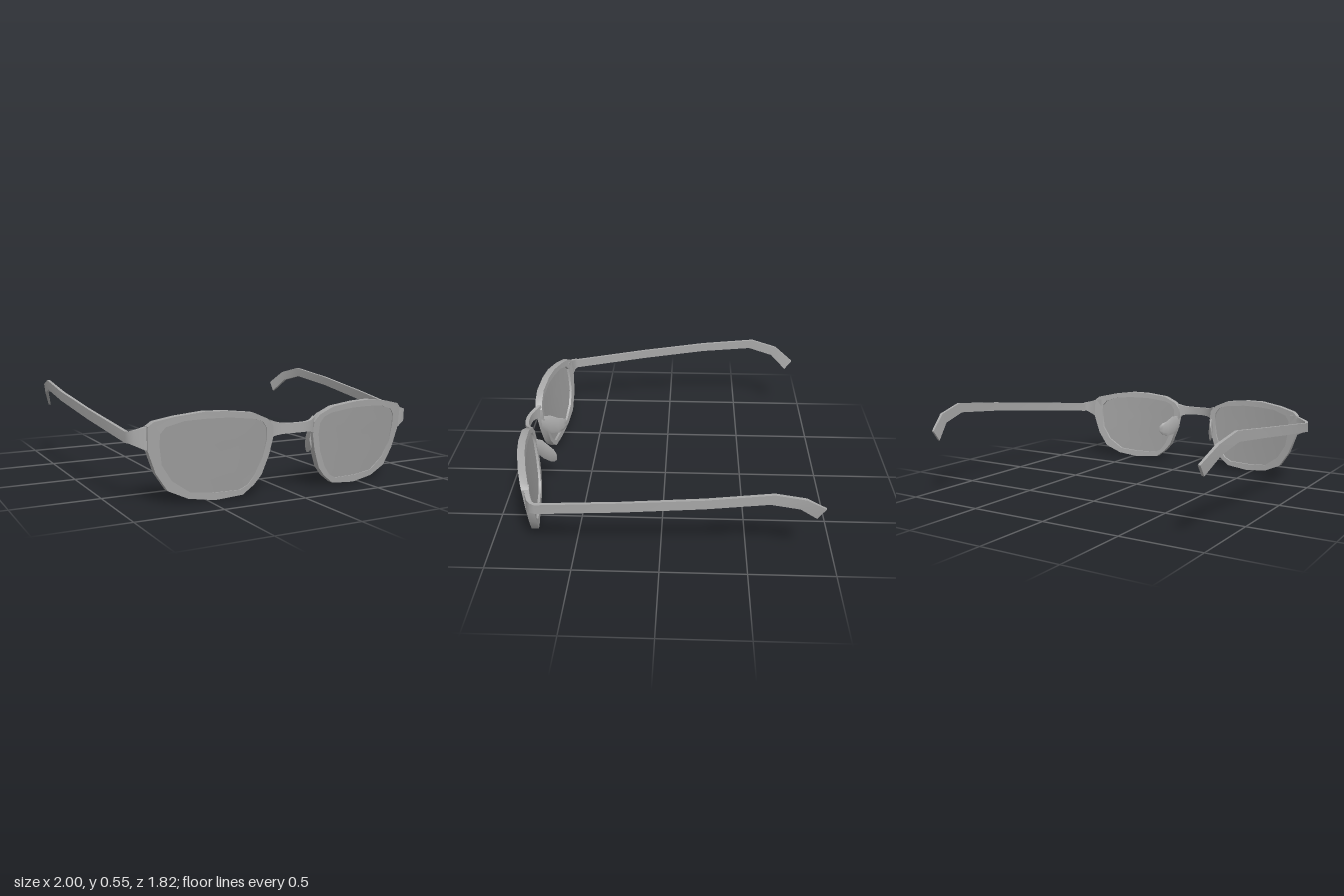
import * as THREE from 'three';
import { toCreasedNormals } from 'three/addons/utils/BufferGeometryUtils.js';

// Skin a list of equal-sized rings; either joined end to end or capped.
function loft(rings, joined = false, crease = 0.6) {
  const n = rings[0].length, tris = [];
  const last = joined ? rings.length : rings.length - 1;
  for (let i = 0; i < last; i++) {
    const a = rings[i], b = rings[(i + 1) % rings.length];
    for (let j = 0; j < n; j++) {
      const k = (j + 1) % n;
      tris.push([a[j], a[k], b[k]], [a[j], b[k], b[j]]);
    }
  }
  if (!joined) {
    const centre = (r) => [0, 1, 2].map((c) => r.reduce((s, p) => s + p[c], 0) / n);
    const a = rings[0], b = rings[rings.length - 1];
    const ca = centre(a), cb = centre(b);
    for (let j = 0; j < n; j++) {
      const k = (j + 1) % n;
      tris.push([ca, a[k], a[j]], [cb, b[j], b[k]]);
    }
  }
  // A negative enclosed volume means the faces point inward, so turn them round.
  const det = ([a, b, c]) =>
    a[0] * (b[1] * c[2] - b[2] * c[1]) + a[1] * (b[2] * c[0] - b[0] * c[2]) + a[2] * (b[0] * c[1] - b[1] * c[0]);
  const flip = tris.reduce((s, t) => s + det(t), 0) < 0;
  const pos = tris.flatMap((t) => (flip ? [t[0], t[2], t[1]] : t)).flat();
  const g = new THREE.BufferGeometry();
  g.setAttribute('position', new THREE.Float32BufferAttribute(pos, 3));
  return toCreasedNormals(g, crease);
}

// Front surface of the wrapped, slightly tilted face of the frame.
const frontZ = (x, y) => 0.88 - 0.22 * (x - 0.15) ** 2 - 0.1 * (0.45 - y);
const RIM_DEPTH = 0.045;

// Rim: outer x, y and inner x, y around one eye.
const rimPoints = [
  [0.80, 0.45, 0.74, 0.42], [0.69, 0.475, 0.645, 0.45], [0.54, 0.495, 0.53, 0.457],
  [0.42, 0.493, 0.40, 0.457], [0.26, 0.475, 0.25, 0.44], [0.17, 0.435, 0.20, 0.42],
  [0.135, 0.395, 0.175, 0.385], [0.13, 0.33, 0.17, 0.32], [0.15, 0.23, 0.19, 0.22],
  [0.19, 0.12, 0.23, 0.125], [0.235, 0.065, 0.27, 0.07], [0.30, 0.015, 0.32, 0.045],
  [0.46, 0, 0.47, 0.043], [0.61, 0.02, 0.60, 0.055], [0.72, 0.07, 0.70, 0.125],
  [0.785, 0.17, 0.755, 0.215], [0.83, 0.30, 0.77, 0.325], [0.83, 0.425, 0.767, 0.385],
];

// Temple arm: outer x, z, inner x, z, top y, bottom y, forward shift of the bottom edge.
const armStations = [
  [0.78, 0.765, 0.78, 0.74, 0.43, 0.29, 0],
  [0.84, 0.757, 0.84, 0.73, 0.42, 0.30, 0],
  [0.893, 0.738, 0.882, 0.715, 0.405, 0.325, 0],
  [0.915, 0.717, 0.899, 0.703, 0.40, 0.335, 0],
  [0.925, 0.69, 0.905, 0.69, 0.395, 0.335, 0],
  [0.972, 0.2, 0.955, 0.2, 0.455, 0.395, 0],
  [1.0, -0.25, 0.98, -0.25, 0.507, 0.45, 0],
  [0.992, -0.615, 0.974, -0.615, 0.545, 0.483, 0.02],
  [0.97, -0.79, 0.95, -0.79, 0.50, 0.44, 0.03],
  [0.925, -0.91, 0.91, -0.91, 0.41, 0.345, 0.047],
];

// Nose pad: x, z, centre y, half height, half thickness.
const padStations = [
  [0.14, 0.84, 0.29, 0.05, 0.012],
  [0.158, 0.785, 0.27, 0.07, 0.015],
  [0.18, 0.735, 0.25, 0.058, 0.013],
  [0.20, 0.705, 0.25, 0.045, 0.009],
  [0.216, 0.686, 0.25, 0.022, 0.005],
];

export function createModel() {
  const model = new THREE.Group();
  model.name = 'glasses';
  const frame = new THREE.MeshStandardMaterial({ color: 0xa8a8a8 });
  frame.name = 'frameGrey';
  const glass = new THREE.MeshStandardMaterial({ color: 0x9e9e9e });
  glass.name = 'lensGrey';

  const add = (name, geometry, material) => {
    const mesh = new THREE.Mesh(geometry, material);
    mesh.name = name;
    model.add(mesh);
  };

  for (const [side, s] of [['left', 1], ['right', -1]]) {
    // Rim
    const rim = rimPoints.map(([ox, oy, ix, iy]) => {
      const zo = frontZ(ox, oy), zi = frontZ(ix, iy);
      return [[s * ox, oy, zo], [s * ix, iy, zi], [s * ix, iy, zi - RIM_DEPTH], [s * ox, oy, zo - RIM_DEPTH]];
    });
    add(side + 'Rim', loft(rim, true), frame);

    // Lens, following the curve of the rim
    const layer = (t, back) => rimPoints.map(([, , ix, iy]) => {
      const x = 0.47 + (ix - 0.47) * t, y = 0.25 + (iy - 0.25) * t;
      return [s * x, y, frontZ(x, y) - back];
    });
    const lens = [[0.3, 0.03], [0.65, 0.03], [1, 0.03], [1, 0.006], [0.65, 0.006], [0.3, 0.006]];
    add(side + 'Lens', loft(lens.map(([t, back]) => layer(t, back))), glass);

    // End piece and temple arm
    const arm = armStations.map(([ox, oz, ix, iz, top, bottom, dz]) => [
      [s * ox, top, oz], [s * ix, top, iz], [s * ix, bottom, iz + dz], [s * ox, bottom, oz + dz],
    ]);
    add(side + 'TempleArm', loft(arm), frame);

    // Nose pad
    const pad = padStations.map(([x, z, y, h, w]) => Array.from({ length: 10 }, (_, i) => {
      const a = (i / 10) * Math.PI * 2;
      return [s * (x + w * Math.cos(a)), y + h * Math.sin(a), z];
    }));
    add(side + 'NosePad', loft(pad, false, 1), frame);
  }

  // Bridge: an arched strap, flaring where it meets the rims
  const bridge = [];
  for (let i = -6; i <= 6; i++) {
    const u = i / 6, x = 0.145 * u, f = u ** 4;
    const z = 0.91 - 0.05 * Math.abs(u) ** 2.5;
    const top = 0.405 + 0.02 * f, bottom = 0.35 - 0.025 * f;
    bridge.push([[x, top, z], [x, top, z - 0.024], [x, bottom, z - 0.024], [x, bottom, z]]);
  }
  add('bridge', loft(bridge), frame);

  return model;
}
